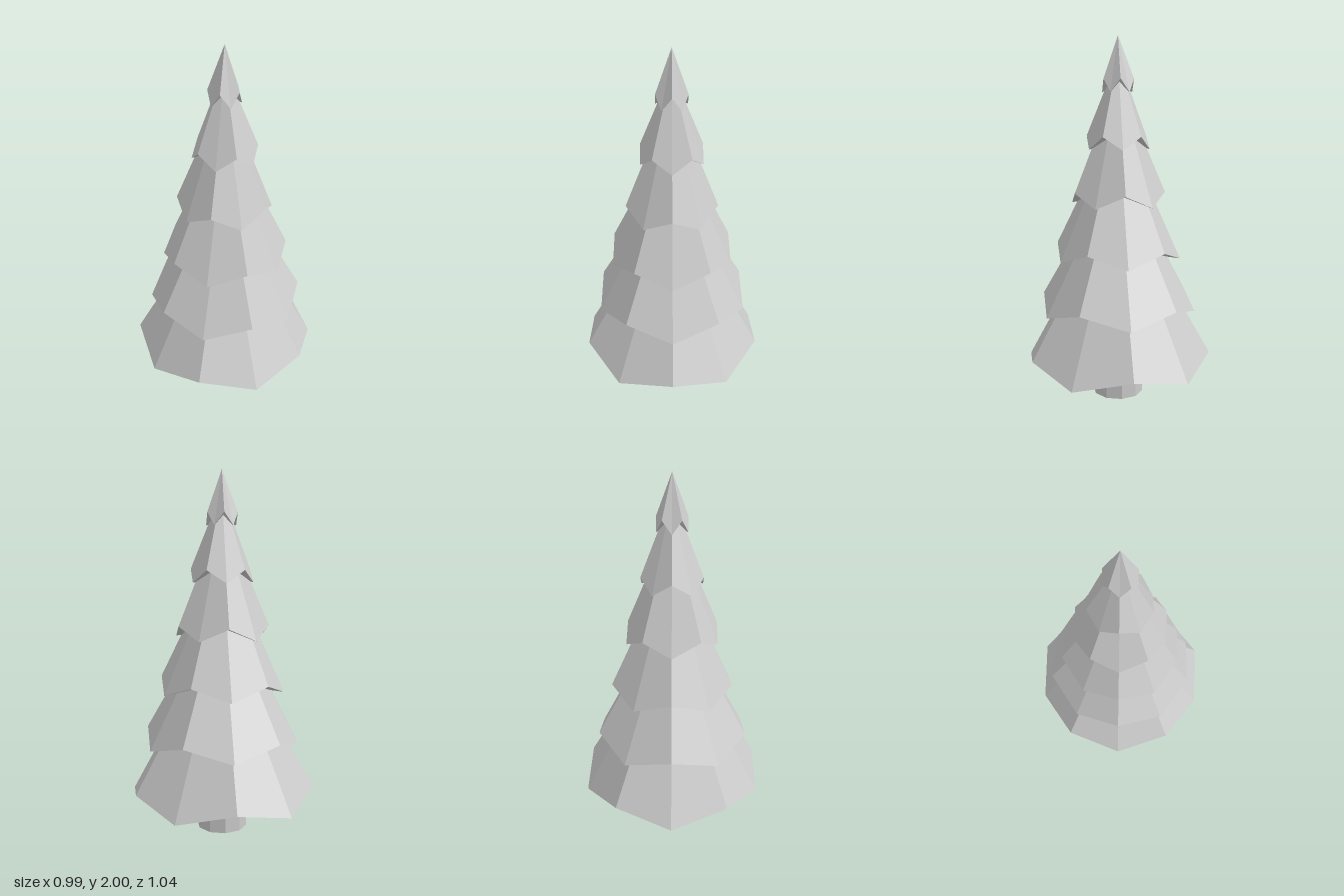
import * as THREE from 'three';

const SIDES = 10;
const RIM_WAVE = 0.035; // rim corners alternate this far above and below the mean

const material = new THREE.MeshStandardMaterial({ color: 0xcccccc, flatShading: true });

// Ten-sided cone whose rim corners zigzag up and down
function makeTier(radius, rimY, apexY, frontSign) {
  const height = apexY - rimY;
  let geometry = new THREE.ConeGeometry(radius, height, SIDES, 1);
  geometry.translate(0, rimY + height / 2, 0);
  const pos = geometry.attributes.position;
  for (let i = 0; i < pos.count; i++) {
    const x = pos.getX(i), z = pos.getZ(i);
    if (Math.hypot(x, z) < radius * 0.5) continue;
    const corner = Math.round(Math.atan2(x, z) / (2 * Math.PI / SIDES));
    const sign = corner % 2 === 0 ? frontSign : -frontSign;
    pos.setY(i, rimY + sign * RIM_WAVE);
  }
  geometry = geometry.toNonIndexed();
  geometry.computeVertexNormals();
  return new THREE.Mesh(geometry, material);
}

export function createModel() {
  const tree = new THREE.Group();
  tree.name = 'pineTree';

  // Trunk, reaching up inside the lowest tier
  const trunkGeometry = new THREE.CylinderGeometry(0.143, 0.143, 0.3, SIDES);
  trunkGeometry.translate(0, 0.15, 0);
  const trunk = new THREE.Mesh(trunkGeometry, material);
  trunk.name = 'trunk';
  tree.add(trunk);

  // Foliage from bottom to top: radius, mean rim height, apex height,
  // and whether the front corner is raised (1) or lowered (-1)
  const tiers = [
    [0.521, 0.224, 1.15, 1],
    [0.434, 0.53, 1.32, -1],
    [0.348, 0.83, 1.57, -1],
    [0.26, 1.132, 1.77, 1],
    [0.174, 1.434, 1.89, -1],
    [0.087, 1.738, 2.0, 1],
  ];
  const foliage = new THREE.Group();
  foliage.name = 'foliage';
  tiers.forEach((tier, i) => {
    const mesh = makeTier(...tier);
    mesh.name = `foliageTier${i + 1}`;
    foliage.add(mesh);
  });
  tree.add(foliage);

  return tree;
}
